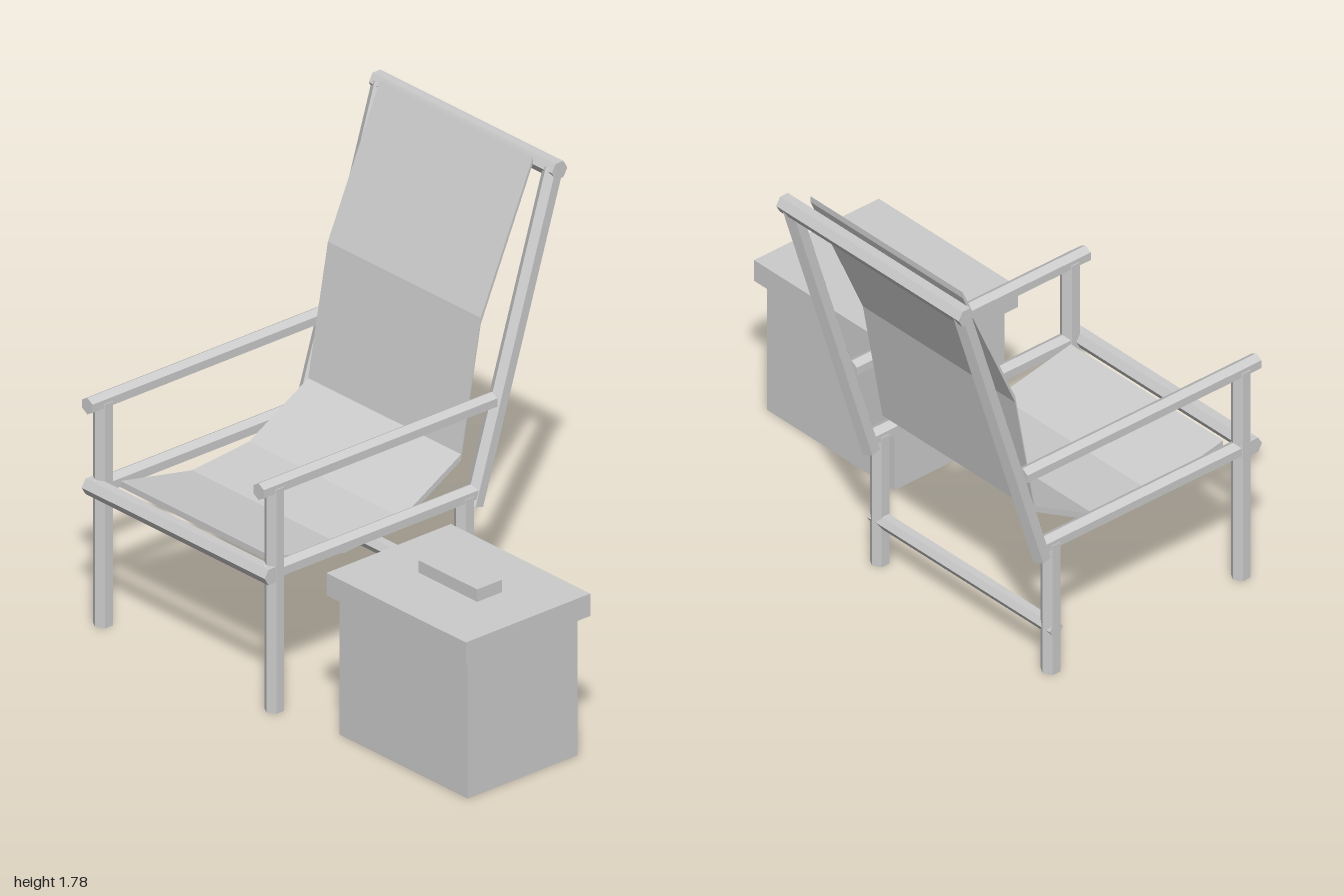
import * as THREE from 'three';

export function createModel() {
  const model = new THREE.Group();
  const grey = new THREE.MeshStandardMaterial({ color: 0xcccccc, flatShading: true });
  grey.name = 'plain grey';

  const add = (parent, name, geometry) => {
    const mesh = new THREE.Mesh(geometry, grey);
    mesh.name = name;
    parent.add(mesh);
    return mesh;
  };

  const chair = new THREE.Group();
  chair.name = 'slingChair';
  const chest = new THREE.Group();
  chest.name = 'coolBox';
  model.add(chair, chest);

  // Six-sided pole between two points
  const up = new THREE.Vector3(0, 1, 0);
  const pole = (name, from, to, r = 0.0375) => {
    const a = new THREE.Vector3(...from), b = new THREE.Vector3(...to);
    const dir = b.clone().sub(a);
    const mesh = add(chair, name, new THREE.CylinderGeometry(r, r, dir.length(), 6));
    mesh.position.copy(a).add(b).multiplyScalar(0.5);
    mesh.quaternion.setFromUnitVectors(up, dir.normalize());
  };

  // Side frames
  for (const [side, x] of [['right', -0.965], ['left', -0.035]]) {
    pole(side + 'FrontLeg', [x, 0, 0.65], [x, 0.9, 0.65]);
    pole(side + 'BackLeg', [x, 0, -0.265], [x, 0.56, -0.265]);
    pole(side + 'BackUpright', [x, 0.51, -0.31], [x, 1.74, -0.695]);
    pole(side + 'Armrest', [x, 0.9, 0.725], [x, 0.9, -0.4], 0.033);
    pole(side + 'SeatRail', [x, 0.56, 0.7], [x, 0.56, -0.31], 0.034);
  }

  // Cross bars
  pole('frontRail', [-0.997, 0.56, 0.688], [-0.003, 0.56, 0.688], 0.036);
  pole('topRail', [-0.997, 1.737, -0.697], [-0.003, 1.737, -0.697]);
  pole('backRung', [-0.997, 0.19, -0.265], [-0.003, 0.19, -0.265], 0.031);

  // Fabric sling: profile in (z, y), given a small vertical thickness
  const profile = [
    [0.61, 0.555], [0.265, 0.485], [-0.01, 0.51],
    [-0.295, 0.672], [-0.39, 1.19], [-0.642, 1.755],
  ];
  const lower = profile.map(([z, y]) => new THREE.Vector2(-z, y));
  const upper = profile.map(([z, y]) => new THREE.Vector2(-z, y + 0.025)).reverse();
  const cloth = new THREE.ExtrudeGeometry(new THREE.Shape([...lower, ...upper]),
    { depth: 0.83, bevelEnabled: false });
  cloth.rotateY(Math.PI / 2); // shape x becomes -z, depth becomes +x
  add(chair, 'sling', cloth).position.x = -0.915;

  // Storage box beside the chair
  const block = (name, x0, x1, y0, y1, z0, z1) => {
    add(chest, name, new THREE.BoxGeometry(x1 - x0, y1 - y0, z1 - z0))
      .position.set((x0 + x1) / 2, (y0 + y1) / 2, (z0 + z1) / 2);
  };
  block('boxBody', 0.275, 0.97, 0, 0.56, 0.08, 0.61);
  block('boxLid', 0.243, 1, 0.56, 0.65, 0.045, 0.645);
  block('boxHandle', 0.46, 0.78, 0.65, 0.7, 0.275, 0.395);

  return model;
}
